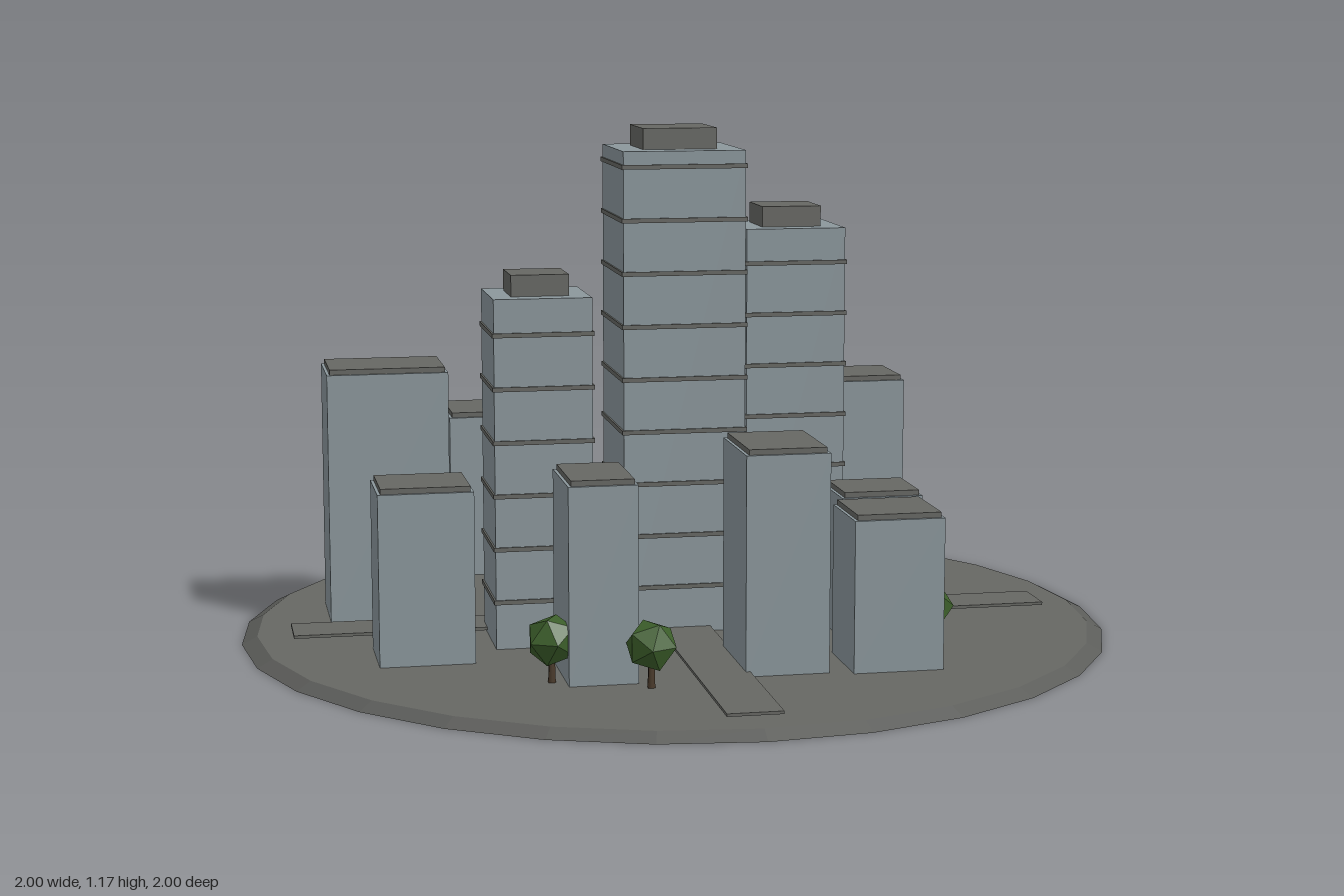
import * as THREE from 'three';

const mat = (name, color) => Object.assign(new THREE.MeshStandardMaterial({ color }), { name });

export function createModel() {
  const city = new THREE.Group();
  city.name = 'cityDistrict';

  const wall = mat('wallBlueGrey', 0x8b979c);
  const concrete = mat('concreteGrey', 0x666763);
  const base = mat('rimGrey', 0x5c5d5a);
  const leaf = mat('leafGreen', 0x3c5e2a);
  const bark = mat('barkBrown', 0x4a3a2a);
  leaf.flatShading = true;
  base.flatShading = true;

  const add = (parent, name, geometry, material, x, y, z) => {
    const mesh = new THREE.Mesh(geometry, material);
    mesh.name = name;
    mesh.position.set(x, y, z);
    parent.add(mesh);
    return mesh;
  };
  // Box standing between heights y0 and y1
  const block = (parent, name, material, x, z, w, d, y0, y1) =>
    add(parent, name, new THREE.BoxGeometry(w, y1 - y0, d), material, x, (y0 + y1) / 2, z);
  const group = (name) => {
    const g = new THREE.Group();
    g.name = name;
    city.add(g);
    return g;
  };

  // Round ground plate with a sloping rim
  add(city, 'groundPlate', new THREE.CylinderGeometry(0.965, 1, 0.018, 28), [base, concrete, base], 0, 0.009, 0);

  // Crossing roads
  block(city, 'roadAcross', concrete, 0, 0, 1.77, 0.12, 0.023, 0.03);
  block(city, 'roadAlong', concrete, 0, 0, 0.12, 1.77, 0.023, 0.0295);

  // Towers with floor bands: x, z, width, height, cap width
  const towers = [
    [0, 0, 0.28, 1.12, 0.17],
    [0.298, -0.147, 0.235, 0.925, 0.14],
    [-0.335, 0.115, 0.22, 0.805, 0.13],
  ];
  for (const [x, z, w, h, cap] of towers) {
    const tower = group('tower');
    block(tower, 'towerShaft', wall, x, z, w, w, 0.015, h);
    block(tower, 'roofCap', concrete, x, z, cap, cap, h, h + 0.048);
    for (let y = 0.125; y < h - 0.02; y += 0.12) {
      block(tower, 'floorBand', concrete, x, z, w + 0.008, w + 0.008, y - 0.005, y + 0.005);
    }
  }

  // Low buildings: x from, x to, z from, z to, height
  const buildings = [
    [-0.46, -0.26, -0.76, -0.545, 0.43],
    [-0.33, -0.15, -0.41, -0.23, 0.335],
    [-0.79, -0.51, -0.305, -0.105, 0.61],
    [0.14, 0.34, -0.455, -0.21, 0.522],
    [0.37, 0.622, -0.428, -0.242, 0.54],
    [-0.715, -0.505, 0.155, 0.34, 0.412],
    [0.335, 0.522, 0.108, 0.278, 0.355],
    [-0.335, -0.185, 0.355, 0.575, 0.46],
    [0.05, 0.235, 0.328, 0.565, 0.512],
    [0.285, 0.485, 0.39, 0.583, 0.365],
  ];
  for (const [x0, x1, z0, z1, h] of buildings) {
    const building = group('building');
    const x = (x0 + x1) / 2, z = (z0 + z1) / 2, w = x1 - x0, d = z1 - z0;
    block(building, 'walls', wall, x, z, w, d, 0.015, h - 0.012);
    block(building, 'roofSlab', concrete, x, z, w - 0.014, d - 0.014, h - 0.012, h);
  }

  // Faceted trees: x, z, turn
  const trees = [[0.51, 0.372, 0.4], [-0.365, 0.528, 1.1], [-0.165, 0.612, 2]];
  for (const [x, z, turn] of trees) {
    const tree = group('tree');
    add(tree, 'trunk', new THREE.CylinderGeometry(0.007, 0.009, 0.055, 6), bark, x, 0.043, z);
    add(tree, 'crown', new THREE.IcosahedronGeometry(0.058, 0), leaf, x, 0.11, z).rotation.y = turn;
  }

  return city;
}
